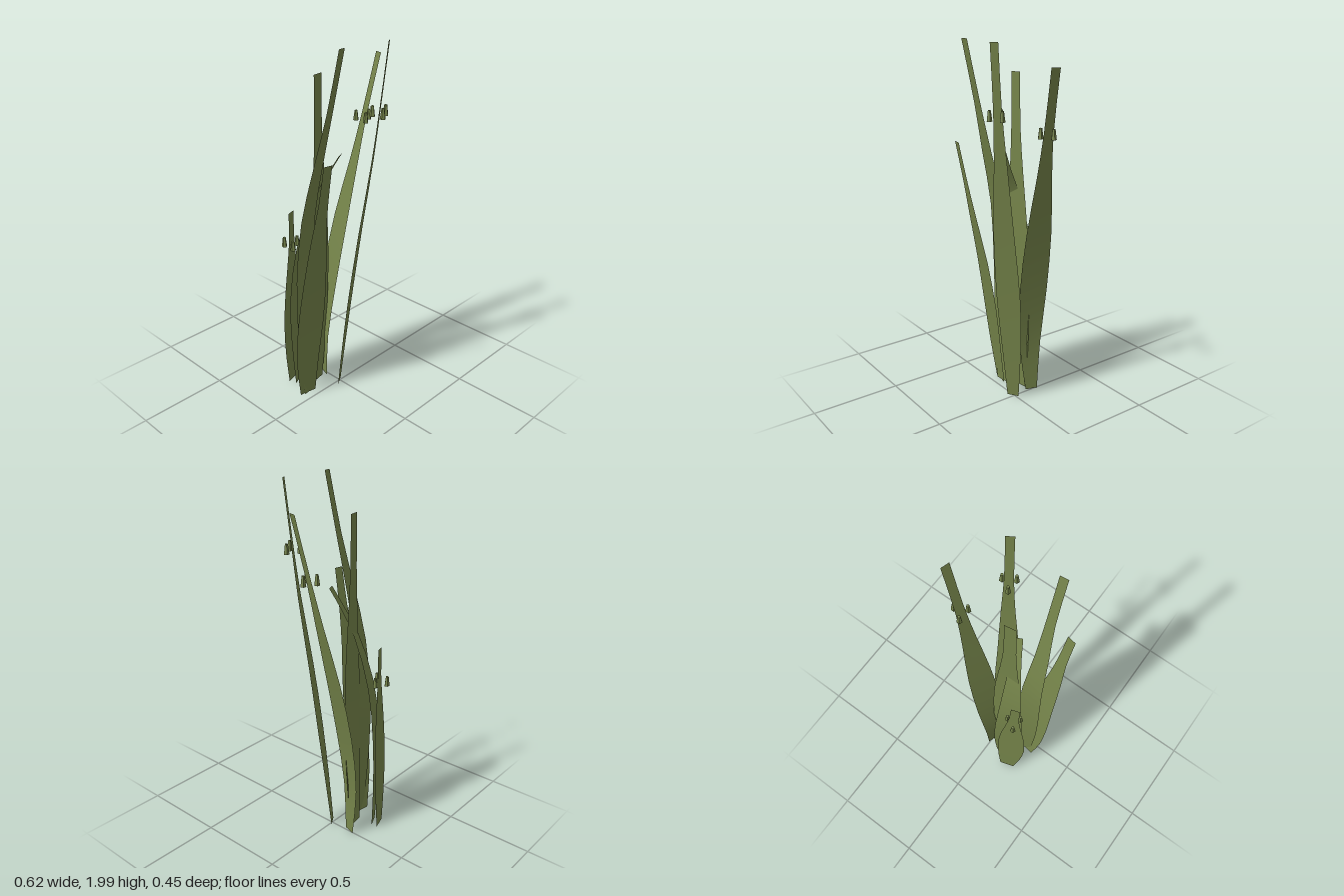
import * as THREE from 'three';

const leafGreen = new THREE.MeshStandardMaterial({ color: 0x75844a, side: THREE.DoubleSide });
leafGreen.name = 'leaf green';

// Flat ribbon leaf: keys are [x, y, z, width]; dir is the horizontal width direction [x, z]
function leaf(name, dir, keys, segments = 12) {
  const path = new THREE.CatmullRomCurve3(keys.map(k => new THREE.Vector3(k[0], k[1], k[2])));
  const widths = new THREE.CatmullRomCurve3(keys.map(k => new THREE.Vector3(k[3], k[1], 0)));
  const side = new THREE.Vector3(dir[0], 0, dir[1]).normalize();
  const geo = new THREE.PlaneGeometry(1, 1, 1, segments);
  const pos = geo.attributes.position;
  for (let i = 0; i < pos.count; i++) {
    const t = pos.getY(i) + 0.5;
    const p = path.getPoint(t).addScaledVector(side, pos.getX(i) * widths.getPoint(t).x);
    pos.setXYZ(i, p.x, p.y, p.z);
  }
  geo.computeVertexNormals();
  const mesh = new THREE.Mesh(geo, leafGreen);
  mesh.name = name;
  return mesh;
}

// Three little five-sided bells in a ring around a leaf
function bellCluster(name, x, y, z) {
  const group = new THREE.Group();
  group.name = name;
  const geo = new THREE.CylinderGeometry(0.008, 0.015, 0.054, 5).toNonIndexed();
  geo.computeVertexNormals();
  for (let i = 0; i < 3; i++) {
    const a = (i * Math.PI * 2) / 3;
    const bell = new THREE.Mesh(geo, leafGreen);
    bell.name = 'bell';
    bell.position.set(x + 0.04 * Math.cos(a), y, z + 0.04 * Math.sin(a));
    group.add(bell);
  }
  return group;
}

export function createModel() {
  const plant = new THREE.Group();
  plant.name = 'leafyPlant';
  plant.add(
    // Leaves leaning left and forward
    leaf('leftLeaf', [0.3, -0.95], [
      [-0.005, 0.01, -0.125, 0.07], [-0.015, 0.3, -0.12, 0.125], [0.03, 0.65, -0.108, 0.158],
      [0.1, 1.0, -0.088, 0.14], [0.17, 1.31, -0.062, 0.085], [0.223, 1.55, -0.043, 0.052], [0.303, 1.885, -0.018, 0.047]]),
    leaf('frontLeaf', [0.85, -0.53], [
      [-0.008, 0.01, 0.005, 0.068], [0.01, 0.3, 0.028, 0.11], [0.028, 0.62, 0.06, 0.138],
      [0.05, 1.0, 0.105, 0.118], [0.086, 1.4, 0.15, 0.072], [0.103, 1.68, 0.178, 0.046], [0.121, 2.0, 0.208, 0.043]]),
    leaf('rightTallLeaf', [0.99, -0.12], [
      [-0.198, 0.01, -0.05, 0.075], [-0.205, 0.4, -0.062, 0.125], [-0.206, 0.75, -0.06, 0.132],
      [-0.2, 1.1, -0.03, 0.11], [-0.193, 1.4, 0.04, 0.076], [-0.179, 1.68, 0.108, 0.048], [-0.173, 2.0, 0.183, 0.043]]),
    leaf('rightShortLeaf', [0.98, 0.17], [
      [-0.208, 0.01, -0.05, 0.1], [-0.226, 0.25, -0.026, 0.145], [-0.229, 0.5, 0.006, 0.165],
      [-0.235, 0.78, 0.05, 0.142], [-0.252, 1.05, 0.1, 0.092], [-0.257, 1.25, 0.14, 0.058], [-0.265, 1.465, 0.182, 0.05]]),
    // Leaves at the middle and the back
    leaf('middleLeaf', [0.98, -0.17], [
      [-0.09, 0.01, -0.1, 0.11], [-0.08, 0.35, -0.09, 0.15], [-0.078, 0.7, -0.08, 0.17],
      [-0.077, 1.0, -0.075, 0.15], [-0.08, 1.3, -0.072, 0.098], [-0.083, 1.55, -0.07, 0.066], [-0.083, 1.83, -0.069, 0.062]]),
    leaf('backArchingLeaf', [0.91, -0.42], [
      [-0.165, 0.01, -0.175, 0.08], [-0.163, 0.3, -0.188, 0.135], [-0.16, 0.6, -0.183, 0.16],
      [-0.145, 0.9, -0.15, 0.125], [-0.11, 1.18, -0.072, 0.078], [-0.078, 1.32, -0.008, 0.055], [-0.045, 1.435, 0.05, 0.052]]),
    leaf('backShortLeaf', [0.95, -0.3], [
      [-0.175, 0.01, -0.212, 0.085], [-0.184, 0.2, -0.203, 0.135], [-0.19, 0.42, -0.193, 0.162],
      [-0.19, 0.62, -0.185, 0.14], [-0.19, 0.8, -0.178, 0.09], [-0.19, 0.94, -0.173, 0.055], [-0.195, 1.1, -0.167, 0.05]]),
    // Bell clusters
    bellCluster('frontBells', 0.103, 1.652, 0.178),
    bellCluster('leftBells', 0.223, 1.56, -0.043),
    bellCluster('backBells', -0.19, 0.917, -0.175),
  );
  return plant;
}
